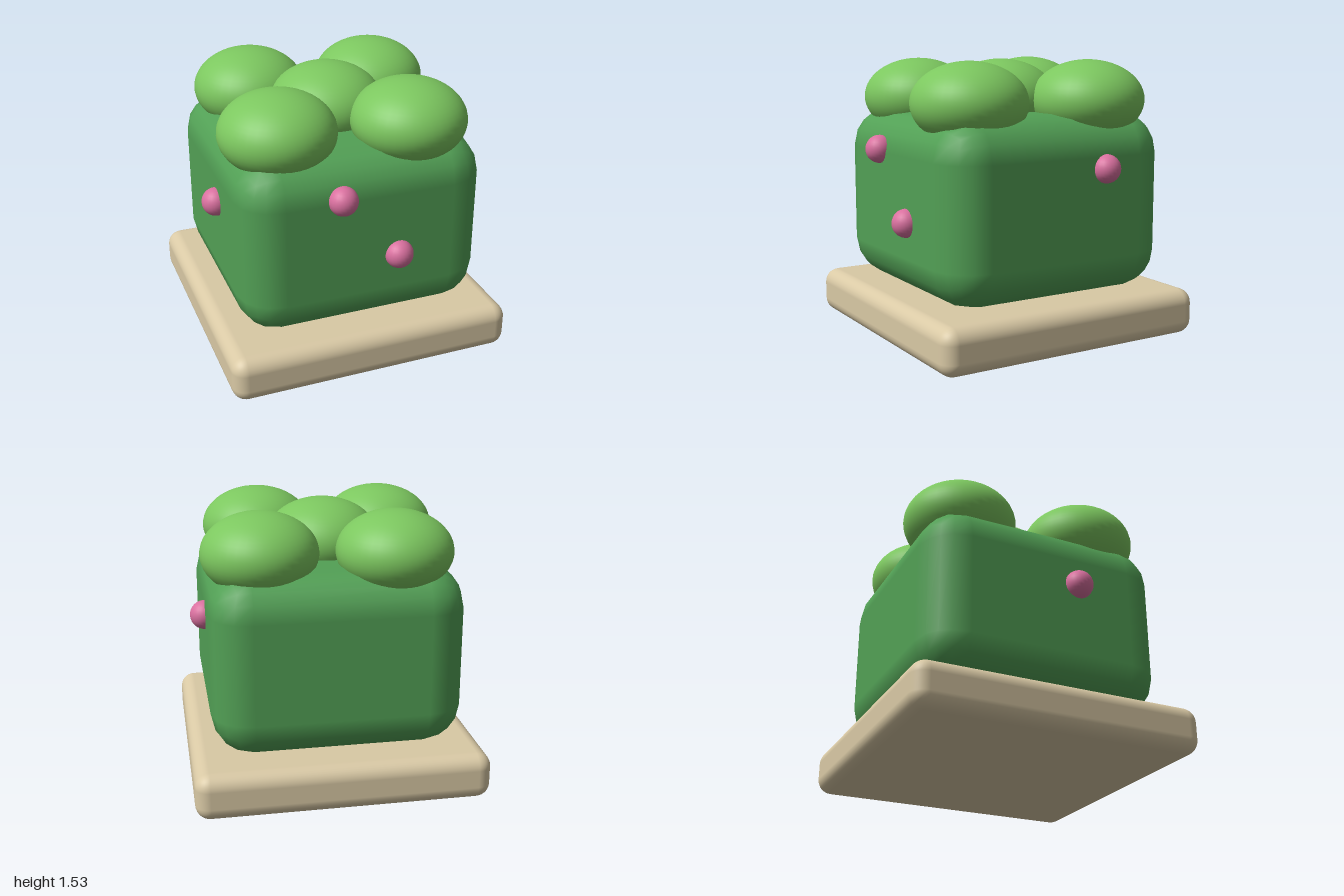
import * as THREE from 'three';
import { RoundedBoxGeometry } from 'three/addons/geometries/RoundedBoxGeometry.js';

export function createModel() {
  const model = new THREE.Group();
  const mat = (name, color) => {
    const m = new THREE.MeshStandardMaterial({ color });
    m.name = name;
    return m;
  };
  const stone = mat('stone', 0xd9c9a5);
  const hedgeGreen = mat('hedge green', 0x52a055);
  const leafGreen = mat('leaf green', 0x7cc75f);
  const pink = mat('flower pink', 0xd9709f);

  const add = (name, geometry, material, x, y, z) => {
    const mesh = new THREE.Mesh(geometry, material);
    mesh.name = name;
    mesh.position.set(x, y, z);
    model.add(mesh);
    return mesh;
  };

  // Plinth and hedge block, both turned about the vertical axis
  const TURN = 0.35, HALF = 0.685;
  add('plinth', new RoundedBoxGeometry(1.596, 0.256, 1.596, 4, 0.08), stone, 0, 0.128, 0).rotation.y = TURN;
  add('hedge', new RoundedBoxGeometry(HALF * 2, 0.99, HALF * 2, 2, 0.22), hedgeGreen, 0, 0.752, 0).rotation.y = TURN;

  // Squashed leaf clumps: one in the middle and four around it
  const clump = new THREE.SphereGeometry(0.315, 40, 28).scale(1, 0.7, 1);
  add('centreLeafClump', clump, leafGreen, 0, 1.312, 0);
  for (let i = 0; i < 4; i++) {
    const a = THREE.MathUtils.degToRad(30.2 + i * 90);
    add('leafClump', clump, leafGreen, 0.507 * Math.cos(a), 1.312, 0.507 * Math.sin(a));
  }

  // Round blossoms half sunk into the hedge faces
  const blossom = new THREE.SphereGeometry(0.078, 24, 16);
  for (const [x, y, z] of [
    [0.083, 1.042, 0.7],
    [0.383, 0.675, 0.59],
    [-0.595, 0.883, 0.38],
    [0.561, 0.963, -0.46],
  ]) add('blossom', blossom, pink, x, y, z);

  return model;
}
